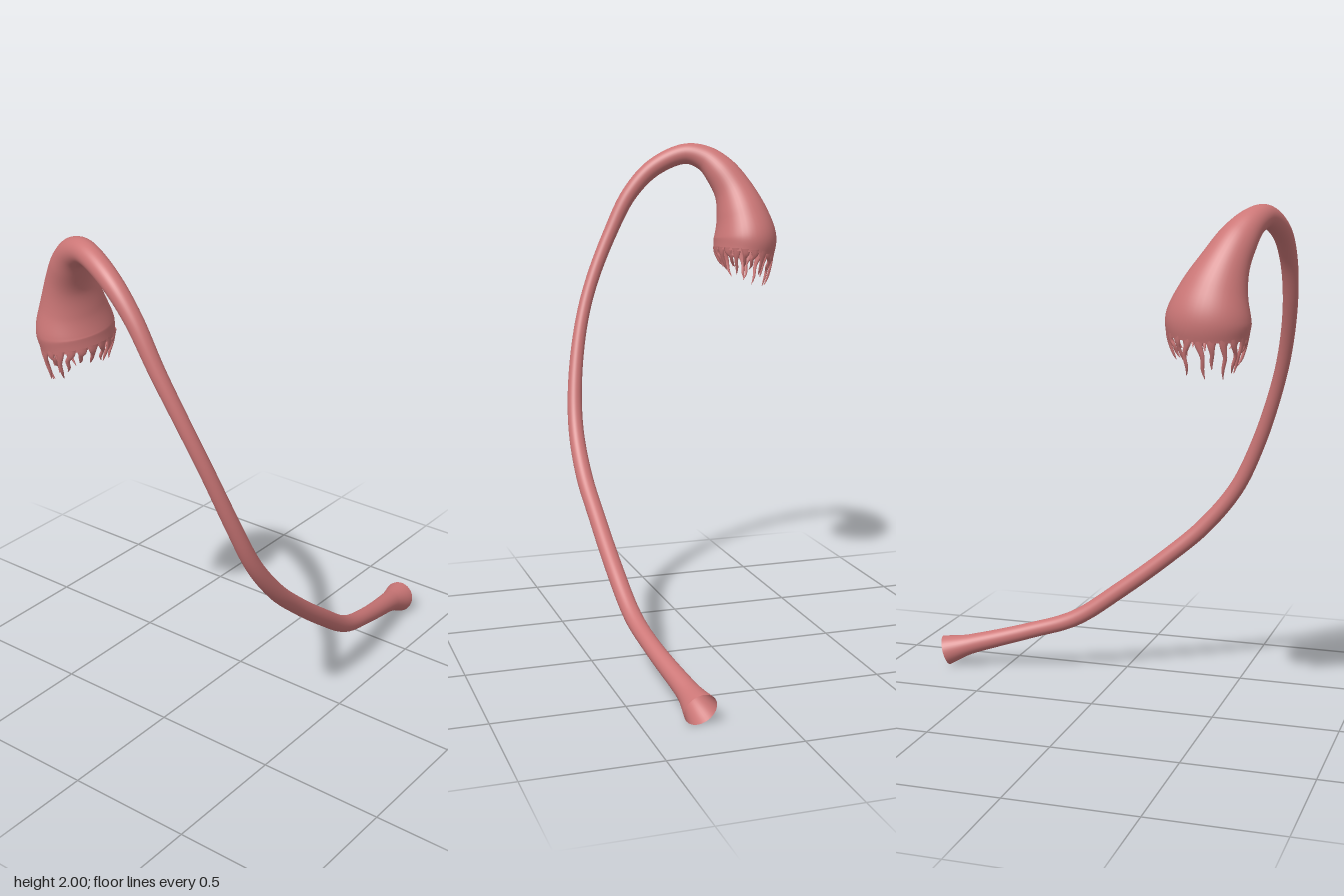
import * as THREE from 'three';

const material = new THREE.MeshStandardMaterial({ color: 0xcc7777, side: THREE.DoubleSide });

// Open tube through stations [x, y, z, radius, stretch]; stretch widens the section along axis
function sweep(stations, rings, sides, axis) {
  const path = new THREE.CatmullRomCurve3(stations.map(s => new THREE.Vector3(s[0], s[1], s[2])));
  const size = new THREE.CatmullRomCurve3(stations.map(s => new THREE.Vector3(s[3], s[4] ?? 1, s[0])));
  // radius and stretch are eased linearly between stations, then smoothed by the curve sampling
  size.curveType = 'catmullrom';
  const positions = [], index = [];
  const normal = new THREE.Vector3(0, 0, 1), binormal = new THREE.Vector3();
  for (let i = 0; i <= rings; i++) {
    const t = i / rings;
    const centre = path.getPoint(t), tangent = path.getTangent(t), s = size.getPoint(t);
    normal.addScaledVector(tangent, -normal.dot(tangent)).normalize();
    binormal.crossVectors(tangent, normal);
    for (let j = 0; j < sides; j++) {
      const a = j / sides * Math.PI * 2;
      const offset = normal.clone().multiplyScalar(Math.cos(a) * s.x)
        .addScaledVector(binormal, Math.sin(a) * s.x);
      offset.addScaledVector(axis, offset.dot(axis) * (s.y - 1));
      positions.push(...offset.add(centre).toArray());
      if (i === rings) continue;
      const p = i * sides + j, q = i * sides + (j + 1) % sides;
      index.push(p, q, p + sides, q, q + sides, p + sides);
    }
  }
  const geometry = new THREE.BufferGeometry();
  geometry.setAttribute('position', new THREE.Float32BufferAttribute(positions, 3));
  geometry.setIndex(index);
  geometry.computeVertexNormals();
  return geometry;
}

export function createModel() {
  const group = new THREE.Group();
  let seed = 11;
  const random = () => (seed = (seed * 16807) % 2147483647) / 2147483647;

  // Long curved tube, flared at its low end and swelling into an open bell
  const stations = [
    [0.762, 0.066, 0.30, 0.064],
    [0.66, 0.097, 0.315, 0.043],
    [0.4, 0.17, 0.36, 0.034],
    [0.2, 0.238, 0.385, 0.034],
    [0, 0.377, 0.405, 0.034],
    [-0.2, 0.535, 0.42, 0.033],
    [-0.35, 0.67, 0.432, 0.033],
    [-0.485, 0.84, 0.43, 0.031],
    [-0.575, 1.03, 0.408, 0.029],
    [-0.652, 1.25, 0.36, 0.027],
    [-0.698, 1.42, 0.302, 0.027],
    [-0.732, 1.62, 0.21, 0.029],
    [-0.74, 1.79, 0.117, 0.033],
    [-0.73, 1.9, 0.01, 0.038],
    [-0.697, 1.956, -0.12, 0.043],
    [-0.665, 1.935, -0.2, 0.054],
    [-0.63, 1.88, -0.255, 0.069, 1.05],
    [-0.595, 1.8, -0.3, 0.083, 1.1],
    [-0.562, 1.7, -0.326, 0.109, 1.15],
    [-0.545, 1.61, -0.335, 0.13, 1.18],
    [-0.54, 1.545, -0.327, 0.126, 1.18],
  ];
  const sides = 40;
  const tubeGeometry = sweep(stations, 160, sides, new THREE.Vector3(1, 0, 0));
  const tube = new THREE.Mesh(tubeGeometry, material);
  tube.name = 'curvedTubeAndBell';
  group.add(tube);

  // Ragged fringe of tapering, wavy fingers hanging from the bell rim
  const fringe = new THREE.Group();
  fringe.name = 'fringe';
  const pos = tubeGeometry.attributes.position;
  const first = pos.count - sides;
  const rimCentre = new THREE.Vector3(-0.54, 1.545, -0.327);
  for (let j = 0; j < sides; j += 2) {
    const rim = new THREE.Vector3().fromBufferAttribute(pos, first + j);
    const inward = rimCentre.clone().sub(rim).setY(0).normalize();
    const around = new THREE.Vector3(-inward.z, 0, inward.x);
    const length = 0.06 + 0.05 * random() + 0.025 * Math.max(0, inward.z);
    const sway = (random() - 0.5) * 0.05;
    const point = (down, inn, side, r, stretch) => {
      const p = rim.clone().addScaledVector(inward, inn).addScaledVector(around, side);
      return [p.x, p.y - down, p.z, r, stretch];
    };
    const finger = new THREE.Mesh(sweep([
      point(-0.012, 0.004, 0, 0.006, 3.6),
      point(0.012, 0.007, 0, 0.006, 2.4),
      point(length * 0.4, 0.014, sway * 0.7, 0.006, 1.4),
      point(length * 0.75, 0.026, sway * 0.6, 0.005, 1.2),
      point(length, 0.03 + 0.015 * random(), sway, 0.0012, 1),
    ], 14, 8, around), material);
    finger.name = 'fringeFinger';
    fringe.add(finger);
  }
  group.add(fringe);
  return group;
}
